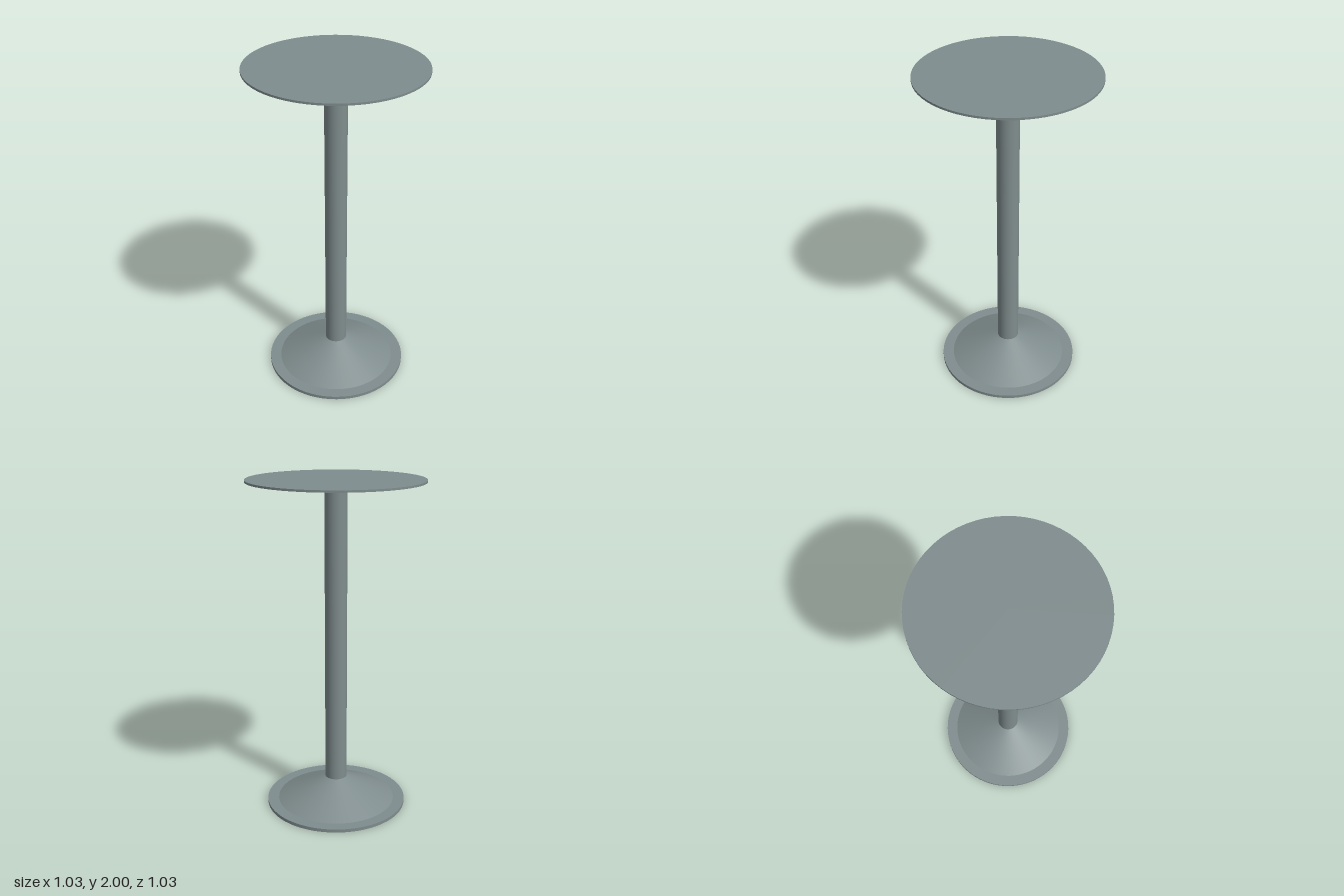
import * as THREE from 'three';

export function createModel() {
  const group = new THREE.Group();
  group.name = 'pedestalTable';
  const metal = new THREE.MeshStandardMaterial({ color: 0x7f8c8d });
  metal.name = 'greyMetal';

  // Round part standing between two heights
  function round(name, topRadius, bottomRadius, y0, y1) {
    const geometry = new THREE.CylinderGeometry(topRadius, bottomRadius, y1 - y0, 64);
    const mesh = new THREE.Mesh(geometry, metal);
    mesh.name = name;
    mesh.position.y = (y0 + y1) / 2;
    group.add(mesh);
  }

  round('basePlate', 0.429, 0.429, 0, 0.02);
  round('baseCone', 0.066, 0.365, 0.018, 0.161);
  round('column', 0.066, 0.066, 0.15, 1.99);
  round('tableTop', 0.515, 0.515, 1.988, 2);

  return group;
}
